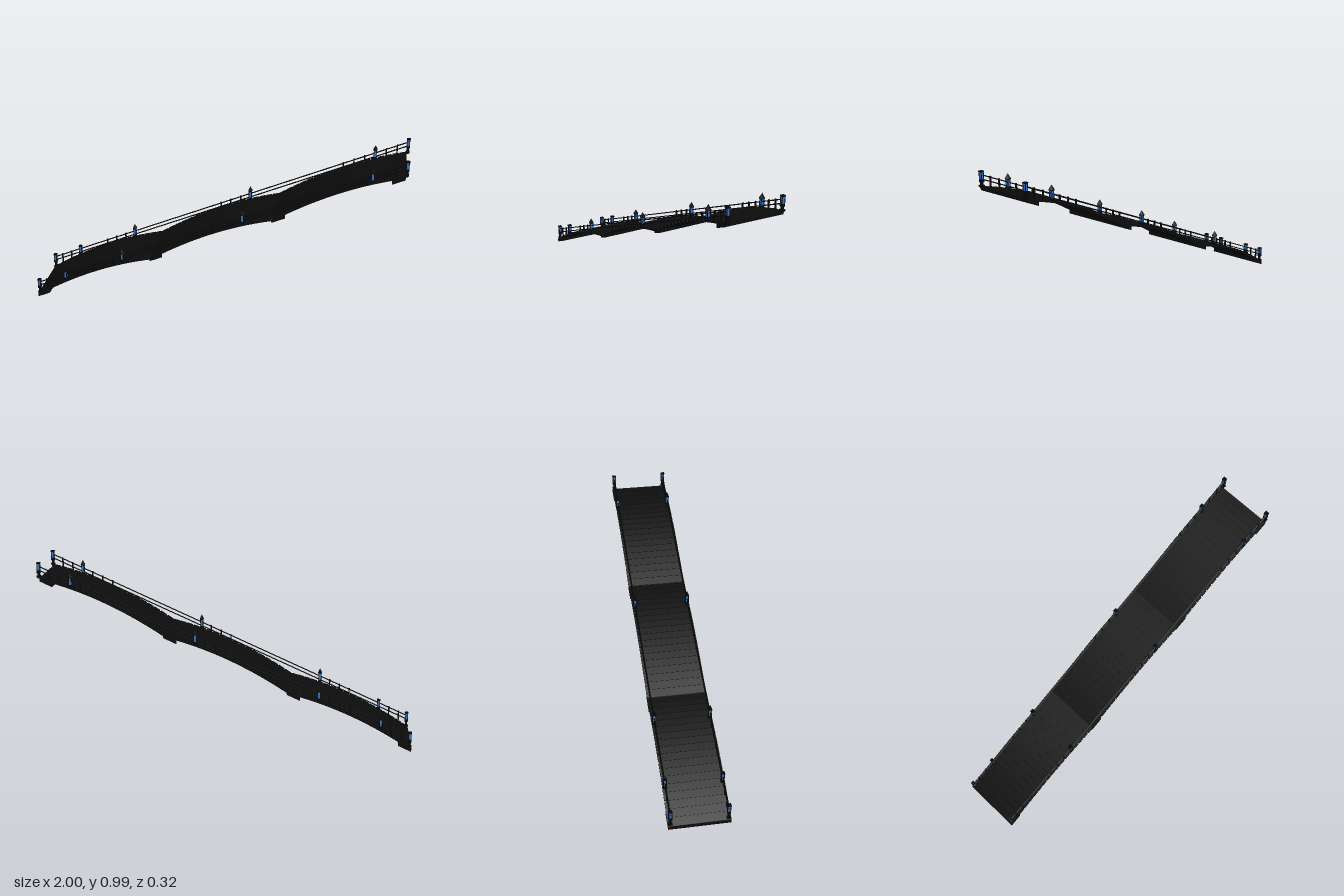
import * as THREE from 'three';

const X0 = -1, X1 = 0.985, SPANS = 3, SPAN = (X1 - X0) / SPANS;
const HALF = 0.158, RAIL_Z = 0.146;

// straight line the spans hang on, arched walking surface, and upper rail height
const chord = x => 0.02 + 0.449 * (x - X0);
const deckY = x => {
  const t = (((x - X0) / SPAN) % 1 + 1) % 1;
  return chord(x) + 0.036 * 4 * t * (1 - t);
};
const railY = x => 0.085 + 0.445 * (x + 1);

export function createModel() {
  const model = new THREE.Group();
  model.name = 'slopedBridge';
  const wood = new THREE.MeshStandardMaterial({ color: 0x0c0c0c });
  wood.name = 'dark planks';
  const iron = new THREE.MeshStandardMaterial({ color: 0x060606 });
  iron.name = 'black rail';
  const glass = new THREE.MeshStandardMaterial({ color: 0x2f72c8 });
  glass.name = 'blue panel';

  function add(parent, name, geo, mat, x = 0, y = 0, z = 0) {
    const m = new THREE.Mesh(geo, mat);
    m.name = name;
    m.position.set(x, y, z);
    parent.add(m);
    return m;
  }
  const box = (parent, name, mat, w, h, d, x, y, z) =>
    add(parent, name, new THREE.BoxGeometry(w, h, d), mat, x, y, z);

  // arched deck slabs with planks on top
  for (let s = 0; s < SPANS; s++) {
    const span = new THREE.Group();
    span.name = 'deckSpan';
    model.add(span);
    const a = X0 + s * SPAN, top = [], bottom = [];
    for (let i = 0; i <= 20; i++) {
      const t = i / 20, x = a + SPAN * t;
      const y = chord(x) + 0.144 * t * (1 - t);
      top.push(new THREE.Vector2(x, y - 0.003));
      bottom.unshift(new THREE.Vector2(x, y - 0.014));
    }
    const slab = new THREE.ExtrudeGeometry(new THREE.Shape([...bottom, ...top]),
      { depth: 0.304, bevelEnabled: false });
    add(span, 'deckSlab', slab, wood, 0, 0, -0.152);

    const n = 18, step = SPAN / n;
    for (let i = 0; i < n; i++) {
      const x = a + (i + 0.5) * step;
      const slope = Math.atan2(deckY(x + 0.01) - deckY(x - 0.01), 0.02);
      const plank = box(span, 'plank', wood, (step - 0.005) / Math.cos(slope), 0.009, HALF * 2,
        x, deckY(x) - 0.0045, 0);
      plank.rotation.z = slope;
    }
  }

  // supports under the joints and ends; the middle ones are skewed across the deck
  function support(a, b, skew) {
    const geo = new THREE.BoxGeometry(1, 1, HALF * 2);
    const p = geo.attributes.position;
    for (let i = 0; i < p.count; i++) {
      const x = (p.getX(i) < 0 ? a : b) + skew * Math.sign(p.getZ(i));
      p.setXY(i, x, chord(x) + (p.getY(i) < 0 ? -0.02 : -0.001));
    }
    geo.computeVertexNormals();
    add(model, 'support', geo, wood);
  }
  support(X0, -0.93, 0);
  support(-0.372, -0.302, 0.028);
  support(0.29, 0.36, 0.028);
  support(0.92, X1, 0);

  // framed blue box on a stem, optionally with a pointed roof
  function panelPost(parent, x, z, peaked) {
    const post = new THREE.Group();
    post.name = peaked ? 'peakedLantern' : 'panelPost';
    parent.add(post);
    const lo = railY(x) - 0.036, hi = railY(x) + 0.017, foot = deckY(x) - 0.008;
    const mid = (lo + hi) / 2, h = hi - lo;
    box(post, 'stem', iron, 0.012, lo - foot + 0.004, 0.012, x, (lo + foot) / 2, z);
    box(post, 'foot', iron, 0.02, 0.008, 0.022, x, foot + 0.01, z);
    box(post, 'bluePanel', glass, 0.013, h, 0.014, x, mid, z);
    for (const sx of [-1, 1]) for (const sz of [-1, 1])
      box(post, 'cornerBar', iron, 0.003, h, 0.003, x + sx * 0.0065, mid, z + sz * 0.0075);
    box(post, 'lowerBand', iron, 0.017, 0.015, 0.018, x, lo + 0.0075, z);
    box(post, 'cap', iron, 0.019, 0.005, 0.021, x, hi, z);
    if (peaked) {
      const roof = new THREE.ConeGeometry(0.015, 0.026, 4);
      roof.rotateY(Math.PI / 4);
      add(post, 'roof', roof.toNonIndexed(), iron, x, hi + 0.015, z);
    }
  }

  const small = [-0.945, -0.89, -0.665, -0.61, -0.555, 0, 0.055, 0.11,
    0.66, 0.715, 0.77, 0.88, 0.935];
  for (const z of [-RAIL_Z, RAIL_Z]) {
    const side = new THREE.Group();
    side.name = z > 0 ? 'frontRailing' : 'backRailing';
    model.add(side);
    // two straight rails
    for (const drop of [0, 0.021]) {
      const a = new THREE.Vector3(-0.998, railY(-0.998) - drop, z);
      const b = new THREE.Vector3(0.99, railY(0.99) - drop, z);
      const rail = new THREE.TubeGeometry(new THREE.LineCurve3(a, b), 1, 0.0032, 6);
      add(side, 'rail', rail, iron);
    }
    // slim posts
    for (const x of small) {
      const lo = deckY(x) - 0.008, hi = railY(x) + 0.006;
      box(side, 'railPost', iron, 0.007, hi - lo, 0.007, x, (lo + hi) / 2, z);
    }
    for (const x of [-0.99, -0.832, 0.99]) panelPost(side, Math.min(x, 0.984) + (x > 0.9 ? 0.006 : 0), z, false);
    for (const x of [-0.5, 0.163, 0.823]) panelPost(side, x, z, true);
  }
  return model;
}
